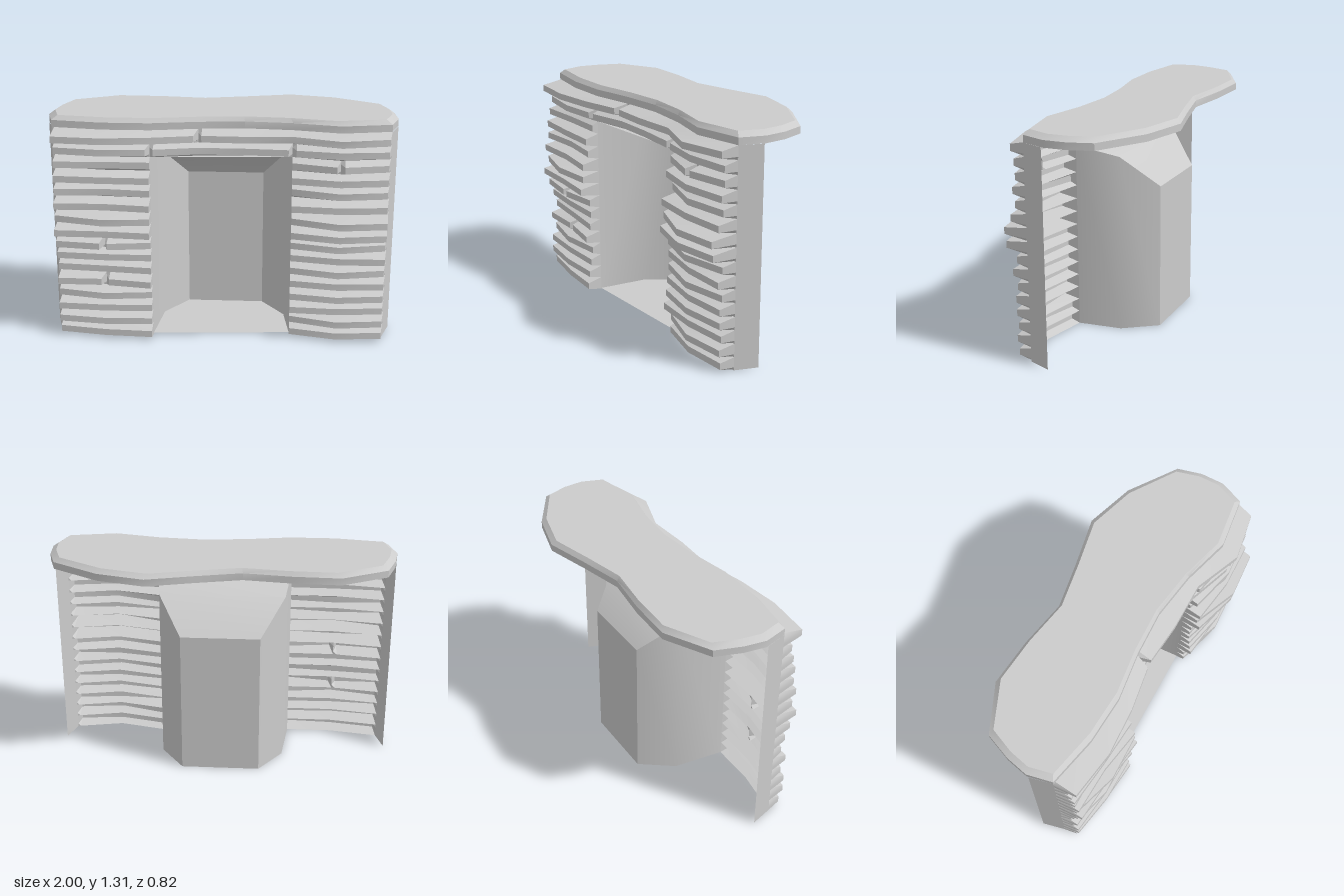
import * as THREE from 'three';
import { toCreasedNormals } from 'three/addons/utils/BufferGeometryUtils.js';

const ROWS = 16, WALL_H = 1.245, PITCH = WALL_H / ROWS, DOOR_ROWS = 14;
const material = new THREE.MeshStandardMaterial({ color: 0xcccccc, side: THREE.DoubleSide });

// plan of the front face, as [x, z]
const FRONT = [[-0.96, 0.24], [-0.67, 0.285], [-0.4, 0.285], [-0.13, 0.235],
  [0.13, 0.21], [0.4, 0.235], [0.67, 0.295], [0.95, 0.24]];
// rest of the slab outline: right end, back, left end
const REST = [[0.995, 0.1], [0.985, -0.03], [0.94, -0.165], [0.67, -0.33], [0.4, -0.4],
  [0.13, -0.33], [-0.13, -0.27], [-0.4, -0.305], [-0.67, -0.315], [-0.93, -0.18],
  [-0.98, -0.03], [-1, 0.1]];
// how far each course stands out, bottom to top
const DEPTHS = [0.08, 0.07, 0.08, 0.075, 0.085, 0.055, 0.08, 0.09,
  0.115, 0.115, 0.1, 0.065, 0.09, 0.05, 0.065, 0.09];
// V-shaped joints cut into single courses
const JOINTS = { 4: [-0.67], 7: [-0.67], 13: [0.67], 14: [-0.4, 0.4], 15: [-0.13] };

function random(seed) {
  const s = Math.sin(seed * 127.1 + 3.7) * 43758.5453;
  return s - Math.floor(s);
}

// z of the front face at x
function frontZ(x) {
  for (let i = 1; i < FRONT.length; i++) {
    const [x0, z0] = FRONT[i - 1], [x1, z1] = FRONT[i];
    if (x <= x1) return z0 + (z1 - z0) * (x - x0) / (x1 - x0);
  }
  return FRONT[FRONT.length - 1][1];
}

// skin over cross-sections with equal numbers of [x, y, z] points
function loft(sections, closed = false) {
  const pos = [];
  const tri = (...pts) => {
    const v = pts.map((p) => new THREE.Vector3(...p));
    const n = v[1].clone().sub(v[0]).cross(v[2].clone().sub(v[0]));
    if (n.length() > 1e-8) pos.push(...pts.flat());
  };
  const n = sections.length;
  for (let i = 0; i < (closed ? n : n - 1); i++) {
    const s = sections[i], t = sections[(i + 1) % n];
    for (let j = 0; j < s.length - 1; j++) {
      tri(s[j], t[j], t[j + 1]);
      tri(s[j], t[j + 1], s[j + 1]);
    }
  }
  const geo = new THREE.BufferGeometry();
  geo.setAttribute('position', new THREE.Float32BufferAttribute(pos, 3));
  return toCreasedNormals(geo, 0.6);
}

// one protruding course between two x positions
function courseGeometry(row, from, to) {
  const y = row * PITCH;
  const stops = []; // [x, depth]
  FRONT.forEach(([x], i) => {
    if (x < from || x > to) return;
    const d = Math.max(0.03, DEPTHS[row] + (random(row * 11 + i) - 0.6) * 0.05);
    if ((JOINTS[row] || []).includes(x)) stops.push([x - 0.022, d], [x, 0], [x + 0.022, d]);
    else if (i === 0) stops.push([x, 0], [x + 0.015, d + 0.02]);
    else if (i === FRONT.length - 1) stops.push([x - 0.015, d + 0.01], [x, 0]);
    else if (x === from) stops.push([x, 0], [x, d]);
    else if (x === to) stops.push([x, d], [x, 0]);
    else stops.push([x, d]);
  });
  return loft(stops.map(([x, d]) => {
    const z = frontZ(x);
    return [[x, y, z], [x, y + 0.018, z + d], [x, y + 0.056, z + d], [x, y + PITCH, z]];
  }));
}

export function createModel() {
  const group = new THREE.Group();
  const add = (name, geometry, parent = group) => {
    const mesh = new THREE.Mesh(geometry, material);
    mesh.name = name;
    parent.add(mesh);
    return mesh;
  };

  // front wall of stacked courses, split by the doorway below the lintel
  const wall = new THREE.Group();
  wall.name = 'frontWall';
  group.add(wall);
  for (let row = 0; row < ROWS; row++) {
    if (row < DOOR_ROWS) {
      add('rightCourse', courseGeometry(row, -0.96, -0.4), wall);
      add('leftCourse', courseGeometry(row, 0.4, 0.95), wall);
    } else add('lintelCourse', courseGeometry(row, -0.96, 0.95), wall);
  }

  // short side returns
  const column = (x, z) => [[x, 0, z], [x, WALL_H, z]];
  add('rightReturn', loft([column(-1, 0.11), column(-0.96, 0.24)]));
  add('leftReturn', loft([column(0.95, 0.24), column(0.995, 0.11)]));

  // top slab with a bevelled upper edge
  const outline = [...FRONT, ...REST];
  const inset = ([x, z]) => [x * 0.965, (z + 0.03) * 0.93 - 0.03];
  const slab = new THREE.Group();
  slab.name = 'topSlab';
  group.add(slab);
  add('slabEdge', loft(outline.map(([x, z]) => {
    const [ix, iz] = inset([x, z]);
    return [[x, WALL_H, z], [x, 1.285, z], [ix, 1.31, iz]];
  }), true), slab);
  const cap = (points, y, up) => {
    const shape = new THREE.Shape(points.map(([x, z]) => new THREE.Vector2(x, up ? -z : z)));
    return new THREE.ShapeGeometry(shape).rotateX(up ? -Math.PI / 2 : Math.PI / 2).translate(0, y, 0);
  };
  add('slabTop', cap(outline.map(inset), 1.31, true), slab);
  add('slabUnderside', cap(outline, WALL_H, false), slab);

  // recess behind the doorway: [x, height, z] from the opening to the back
  const side = (s) => [[s * 0.4, DOOR_ROWS * PITCH, frontZ(s * 0.4)],
    [s * 0.367, 1.045, -0.02], [s * 0.23, 0.86, -0.21]];
  const right = side(-1), left = side(1);
  const plan = [...right, ...left.slice().reverse()];
  const recess = new THREE.Group();
  recess.name = 'recess';
  group.add(recess);
  add('recessWalls', loft(plan.map(([x, y, z]) => [[x, 0, z], [x, y, z]])), recess);
  add('recessCeiling', loft([right, left].map((s) => s.slice().reverse())), recess);
  add('recessFloor', cap(plan.map(([x, , z]) => [x, z]), 0.005, true), recess);
  // underside of the lintel, closing the gap behind its curved face
  const lintel = FRONT.filter(([x]) => Math.abs(x) <= 0.4);
  add('lintelUnderside', cap(lintel, DOOR_ROWS * PITCH, false), recess);
  return group;
}
